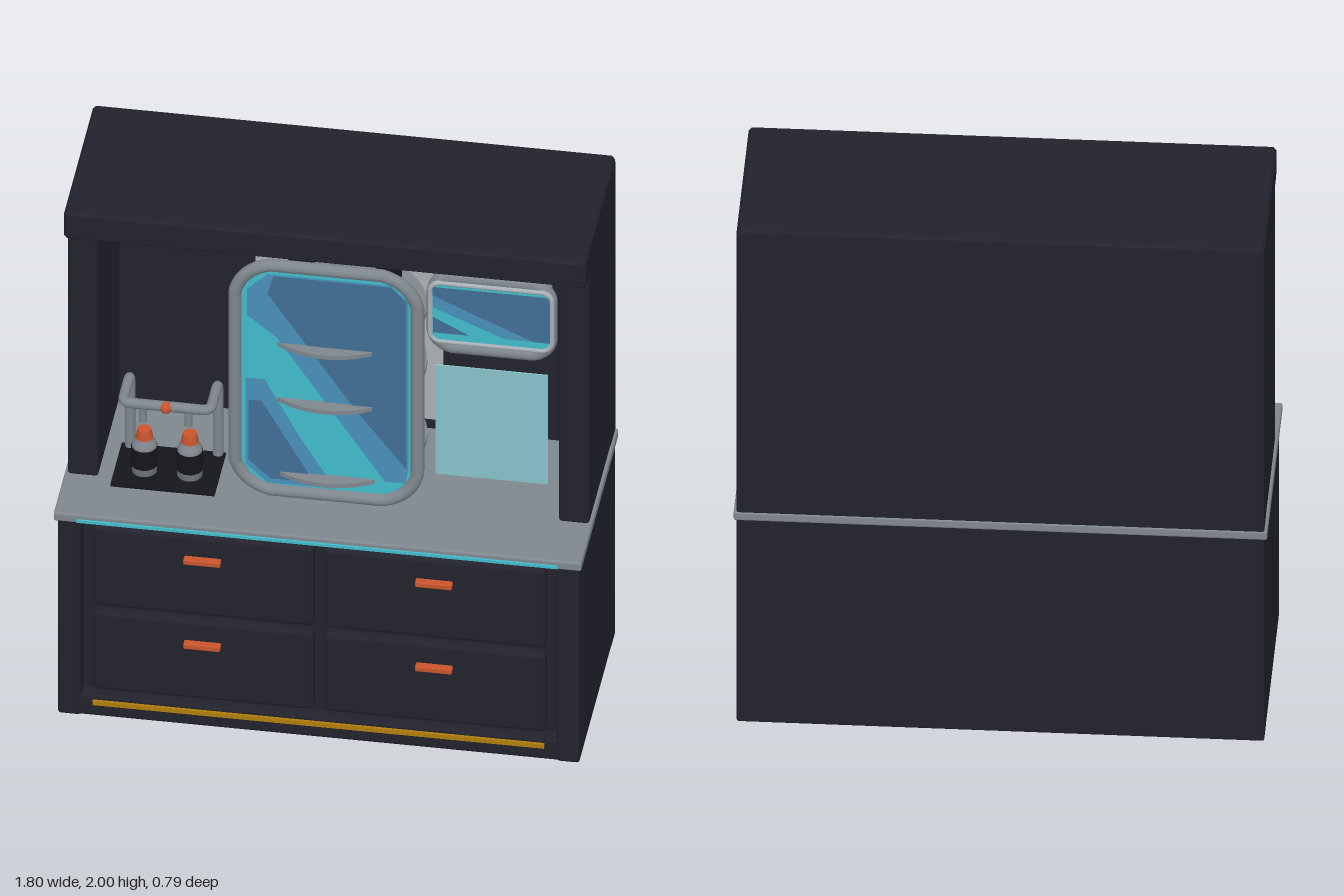
import * as THREE from 'three';
import { RoundedBoxGeometry } from 'three/addons/geometries/RoundedBoxGeometry.js';

const mat = (name, color, side = THREE.FrontSide) => {
  const m = new THREE.MeshStandardMaterial({ color, side });
  m.name = name;
  return m;
};

export function createModel() {
  const root = new THREE.Group();
  root.name = 'bathroomVanity';
  const D = THREE.DoubleSide;
  const dark = mat('darkCabinet', 0x22222d);
  const black = mat('blackTray', 0x15151c);
  const grey = mat('greyMetal', 0x7f878e);
  const light = mat('lightMetal', 0xa9b0b5, D);
  const orange = mat('orange', 0xc8552c);
  const gold = mat('gold', 0xb07d0c);
  const teal = mat('tealGlass', 0x42bccb, D);
  const blue = mat('blueGlass', 0x416e95, D);
  const mid = mat('paleBlueGlass', 0x478fb8, D);
  const film = mat('paleTealPanel', 0x86c3ca, D);

  const add = (name, geo, m, x = 0, y = 0, z = 0, parent = root) => {
    const mesh = new THREE.Mesh(geo, m);
    mesh.name = name;
    mesh.position.set(x, y, z);
    parent.add(mesh);
    return mesh;
  };
  // Box from its limits, with softened edges when r is given
  const box = (name, m, x0, x1, y0, y1, z0, z1, r = 0) => add(name,
    r ? new RoundedBoxGeometry(x1 - x0, y1 - y0, z1 - z0, 2, r) : new THREE.BoxGeometry(x1 - x0, y1 - y0, z1 - z0),
    m, (x0 + x1) / 2, (y0 + y1) / 2, (z0 + z1) / 2);
  // Thin flat polygon facing the front
  const plate = (name, m, pts, z) =>
    add(name, new THREE.ShapeGeometry(new THREE.Shape(pts.map(p => new THREE.Vector2(...p)))), m, 0, 0, z);
  // Rectangle with cut corners
  const cutRect = (x0, x1, y0, y1, c) => [
    [x0 + c, y0], [x1 - c, y0], [x1, y0 + c], [x1, y1 - c],
    [x1 - c, y1], [x0 + c, y1], [x0, y1 - c], [x0, y0 + c]];
  // Closed tube frame with rounded corners
  const loopFrame = (name, m, x0, x1, y0, y1, c, r, z) => {
    const p = cutRect(x0, x1, y0, y1, c).map(a => new THREE.Vector3(a[0], a[1], z));
    const corners = [[x1, y0], [x1, y1], [x0, y1], [x0, y0]];
    const path = new THREE.CurvePath();
    corners.forEach(([cx, cy], i) => {
      const a = p[i * 2 + 1], b = p[(i * 2 + 2) % 8];
      path.add(new THREE.LineCurve3(p[i * 2], a));
      // Corner pulled in a little, between a cut and a round
      const ctrl = new THREE.Vector3(cx, cy, z).lerp(a.clone().lerp(b, 0.5), 0.4);
      path.add(new THREE.QuadraticBezierCurve3(a, ctrl, b));
    });
    return add(name, new THREE.TubeGeometry(path, 160, r, 10, true), m);
  };

  // Base cabinet: a core with a raised front frame
  box('baseCore', dark, -0.87, 0.87, 0.01, 0.82, -0.385, 0.31);
  for (const s of [-1, 1]) {
    const a = s * 0.81, b = s * 0.89;
    box('baseSide', dark, Math.min(a, b), Math.max(a, b), 0, 0.83, -0.39, 0.365, 0.012);
  }
  box('baseBack', dark, -0.89, 0.89, 0, 0.83, -0.39, -0.3, 0.008);
  box('baseBottomRail', dark, -0.88, 0.88, 0, 0.085, -0.39, 0.36, 0.012);
  box('baseTopRail', dark, -0.85, 0.85, 0.79, 0.83, 0.2, 0.345, 0.01);
  box('goldStrip', gold, -0.77, 0.77, 0.053, 0.07, 0.35, 0.37);

  // Drawers and handles
  for (const [x0, x1] of [[-0.775, -0.02], [0.015, 0.77]]) {
    for (const [y0, y1, hy] of [[0.45, 0.78, 0.688], [0.1, 0.425, 0.336]]) {
      box('drawer', dark, x0, x1, y0, y1, 0.28, 0.348, 0.018);
      const c = (x0 + x1) / 2;
      box('drawerHandle', orange, c - 0.063, c + 0.063, hy - 0.011, hy + 0.011, 0.34, 0.373, 0.005);
    }
  }

  // Counter top with its lit strip
  box('counterTop', grey, -0.9, 0.9, 0.82, 0.855, -0.393, 0.388, 0.008);
  box('counterStrip', teal, -0.82, 0.82, 0.827, 0.838, 0.387, 0.395);

  // Upper alcove
  box('alcoveBack', dark, -0.89, 0.89, 0.85, 1.98, -0.39, -0.29, 0.006);
  for (const s of [-1, 1]) {
    const a = s * 0.785, b = s * 0.89;
    box('alcoveSide', dark, Math.min(a, b), Math.max(a, b), 0.85, 1.98, -0.39, 0.16, 0.012);
  }
  const canopy = new THREE.Shape([[-0.39, 1.88], [0.215, 1.88], [0.24, 1.9], [0.24, 1.99], [0.23, 2], [-0.38, 2], [-0.39, 1.99]]
    .map(([z, y]) => new THREE.Vector2(-z, y)));
  const canopyGeo = new THREE.ExtrudeGeometry(canopy, {
    depth: 1.76, bevelEnabled: true, bevelThickness: 0.01, bevelSize: 0.01, bevelOffset: -0.01, bevelSegments: 1 });
  canopyGeo.translate(0, 0, -0.88).rotateY(Math.PI / 2);
  add('canopy', canopyGeo, dark);

  // Bottle: metal body, dark band, light neck and orange cap
  const bottle = (x, y, z) => {
    const g = new THREE.Group();
    g.name = 'bottle';
    g.position.set(x, y, z);
    root.add(g);
    const body = [[0, 0], [0.043, 0], [0.043, 0.1], [0.04, 0.118], [0.026, 0.132], [0.026, 0.145], [0, 0.145]];
    add('bottleBody', new THREE.LatheGeometry(body.map(p => new THREE.Vector2(...p)), 20), grey, 0, 0, 0, g);
    add('bottleBand', new THREE.CylinderGeometry(0.045, 0.045, 0.075, 20, 1), black, 0, 0.065, 0, g);
    add('bottleCap', new THREE.CylinderGeometry(0.024, 0.03, 0.035, 16), orange, 0, 0.155, 0, g);
  };

  // Round shelves behind the mirror
  box('shelfBacking', light, -0.32, 0.32, 0.9, 1.83, -0.295, -0.28);
  add('shelfPole', new THREE.CylinderGeometry(0.02, 0.02, 0.95, 12), grey, 0, 1.33, -0.05);
  for (const y of [0.975, 1.28, 1.51]) {
    add('roundShelf', new THREE.CylinderGeometry(0.3, 0.3, 0.016, 48), grey, 0, y, -0.05);
    for (let i = 0; i < 4; i++) {
      const a = Math.PI / 4 + i * Math.PI / 2;
      bottle(0.21 * Math.cos(a), y + 0.008, -0.05 + 0.21 * Math.sin(a));
    }
  }

  // Mirror with diagonal reflections
  loopFrame('mirrorFrame', grey, -0.311, 0.311, 0.902, 1.838, 0.12, 0.023, 0.2);
  plate('mirrorGlass', teal, cutRect(-0.305, 0.305, 0.91, 1.83, 0.1), 0.199);
  plate('mirrorPaleUpper', mid, [[-0.2, 1.8], [-0.27, 1.73], [-0.27, 1.62], [-0.17, 1.54], [0.2, 0.98], [0.27, 0.98], [0.28, 1.04], [0.28, 1.74], [0.22, 1.8]], 0.202);
  plate('mirrorBlueUpper', blue, [[-0.18, 1.795], [-0.2, 1.72], [0.1, 1.27], [0.275, 1.04], [0.275, 1.74], [0.22, 1.795]], 0.205);
  plate('mirrorPaleLower', mid, [[-0.275, 1.36], [-0.21, 1.36], [-0.1, 1.15], [0.03, 0.93], [-0.2, 0.93], [-0.275, 1.0]], 0.202);
  plate('mirrorBlueLower', blue, [[-0.265, 1.27], [-0.22, 1.27], [-0.04, 0.95], [-0.19, 0.95], [-0.265, 1.02]], 0.205);

  // Small screen
  loopFrame('screenFrame', grey, 0.355, 0.75, 1.515, 1.805, 0.06, 0.026, 0.12);
  box('screenBacking', grey, 0.35, 0.755, 1.51, 1.81, 0.09, 0.115, 0.01);
  box('screenArm', grey, 0.5, 0.6, 1.6, 1.72, -0.3, 0.1);
  loopFrame('screenRim', light, 0.345, 0.76, 1.548, 1.79, 0.03, 0.009, 0.144);
  plate('screenGlass', teal, cutRect(0.347, 0.758, 1.55, 1.788, 0.03), 0.147);
  plate('screenBlue', blue, [[0.355, 1.775], [0.355, 1.74], [0.44, 1.7], [0.7, 1.585], [0.755, 1.585], [0.755, 1.765], [0.74, 1.775]], 0.151);
  plate('screenPale', mid, [[0.355, 1.74], [0.355, 1.69], [0.6, 1.585], [0.7, 1.585], [0.44, 1.7]], 0.15);
  plate('screenBlueLower', blue, [[0.355, 1.65], [0.355, 1.585], [0.48, 1.585]], 0.15);

  // Floating pale panel
  box('palePanel', film, 0.36, 0.743, 0.975, 1.43, 0.118, 0.123);

  // Soap tray, bottles and dispenser rail
  box('soapTray', black, -0.735, -0.38, 0.853, 0.864, -0.03, 0.21);
  for (const x of [-0.635, -0.48]) {
    bottle(x, 0.864, 0.11);
    add('nozzle', new THREE.CylinderGeometry(0.014, 0.014, 0.06, 12), grey, x, 1.12, 0.14);
  }
  const railPts = [[-0.705, 0.85, -0.02], [-0.705, 1.16, -0.02], [-0.705, 1.16, 0.14],
    [-0.405, 1.16, 0.14], [-0.405, 1.16, -0.02], [-0.405, 0.85, -0.02]].map(p => new THREE.Vector3(...p));
  const rail = new THREE.CurvePath();
  let from = railPts[0];
  for (let i = 1; i < 5; i++) {
    const k = railPts[i];
    const a = k.clone().add(railPts[i - 1].clone().sub(k).setLength(0.03));
    const b = k.clone().add(railPts[i + 1].clone().sub(k).setLength(0.03));
    rail.add(new THREE.LineCurve3(from, a));
    rail.add(new THREE.QuadraticBezierCurve3(a, k, b));
    from = b;
  }
  rail.add(new THREE.LineCurve3(from, railPts[5]));
  add('dispenserRail', new THREE.TubeGeometry(rail, 120, 0.018, 10), grey);
  add('railKnob', new THREE.SphereGeometry(0.021, 14, 10), orange, -0.555, 1.16, 0.147);

  return root;
}
